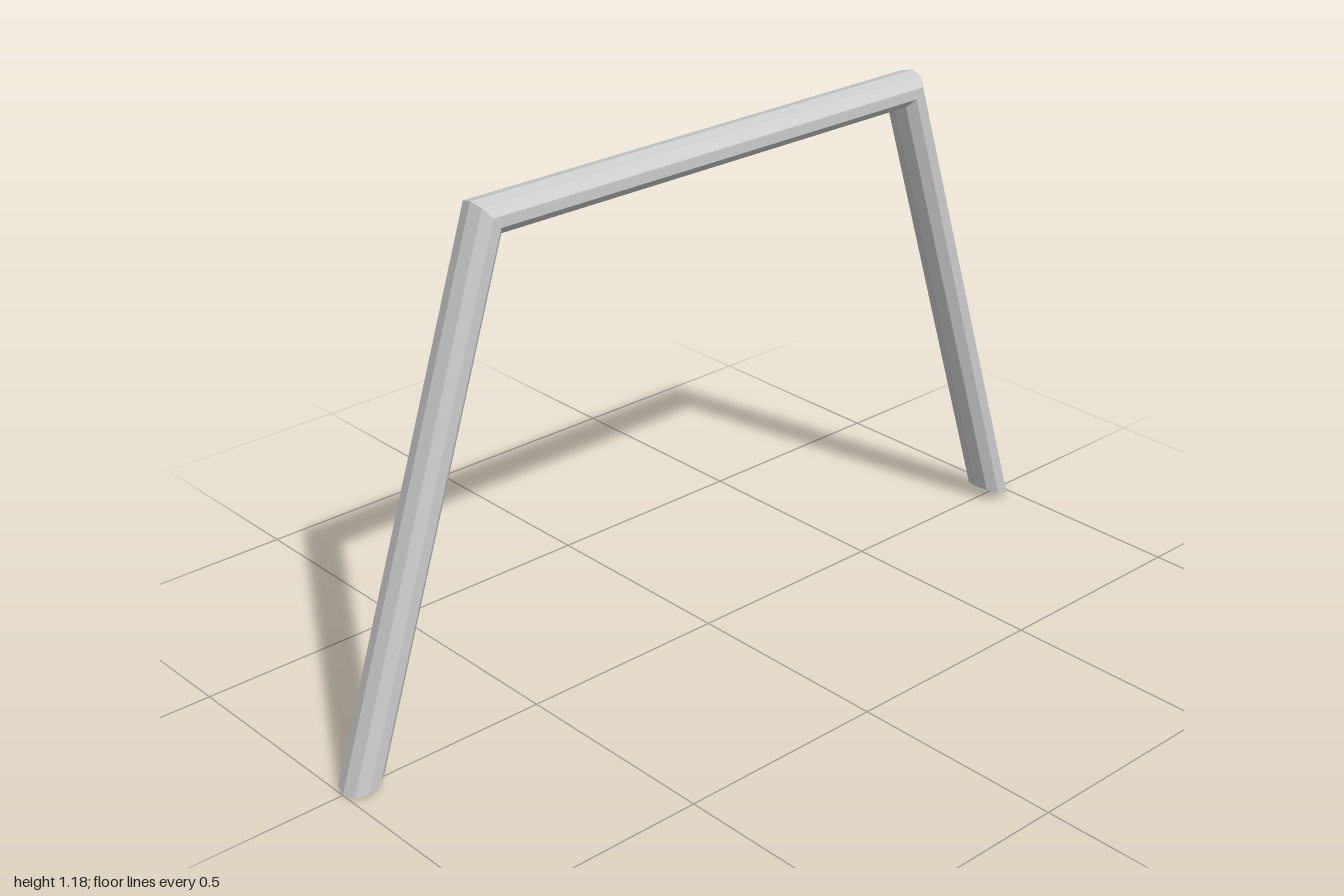
import * as THREE from 'three';

const SIDES = 10;
const HALF_DEPTH = 0.05;

// Ten-sided ring spanning from an outer to an inner point, widened along z
function ring([ox, oy], [ix, iy]) {
  const points = [];
  for (let k = 0; k < SIDES; k++) {
    const a = (k / SIDES) * Math.PI * 2;
    const t = (1 - Math.cos(a)) / 2;
    points.push([ox + (ix - ox) * t, oy + (iy - oy) * t, HALF_DEPTH * Math.sin(a)]);
  }
  return points;
}

// Open tube section between two rings
function section(name, a, b, material) {
  const positions = [];
  for (let k = 0; k < SIDES; k++) {
    const n = (k + 1) % SIDES;
    positions.push(...a[k], ...a[n], ...b[k], ...a[n], ...b[n], ...b[k]);
  }
  const geometry = new THREE.BufferGeometry();
  geometry.setAttribute('position', new THREE.Float32BufferAttribute(positions, 3));
  geometry.computeVertexNormals();
  const mesh = new THREE.Mesh(geometry, material);
  mesh.name = name;
  return mesh;
}

export function createModel() {
  const group = new THREE.Group();
  group.name = 'archFrame';
  const material = new THREE.MeshStandardMaterial({
    color: 0xcccccc, flatShading: true, side: THREE.DoubleSide,
  });

  // Slanted foot cuts and mitred corners, mirrored across x
  const foot = (s) => ring([s * 1.0, 0], [s * 0.907, 0.034]);
  const corner = (s) => ring([s * 0.617, 1.176], [s * 0.562, 1.099]);

  group.add(section('rightLeg', foot(-1), corner(-1), material));
  group.add(section('crossbar', corner(-1), corner(1), material));
  group.add(section('leftLeg', corner(1), foot(1), material));
  return group;
}
